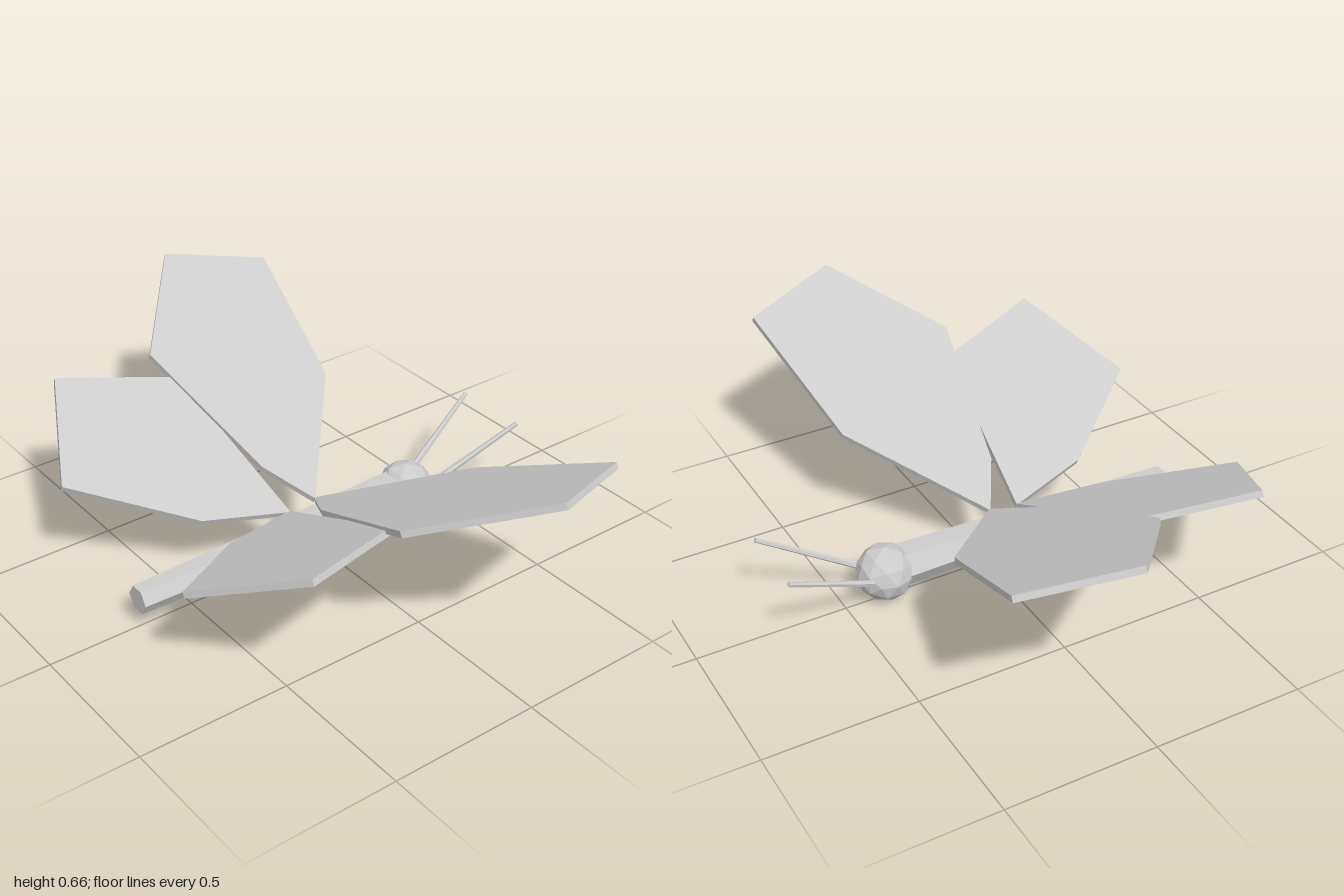
import * as THREE from 'three';

const grey = new THREE.MeshStandardMaterial({ color: 0xcccccc, flatShading: true });
grey.name = 'light grey';

const TILT = THREE.MathUtils.degToRad(25);
const THICKNESS = 0.021;

// Wing outlines as seen from above: [x, z]
const FORE_WING = [[0, 0.02], [0.383, -0.313], [0.867, -0.405], [0.994, -0.075], [0.652, 0.212], [0.162, 0.114]];
const HIND_WING = [[0, 0.118], [0.557, 0.167], [0.693, 0.547], [0.342, 0.735], [0.08, 0.4]];

export function createModel() {
  const model = new THREE.Group();
  model.name = 'butterfly';

  const add = (name, geometry) => {
    const mesh = new THREE.Mesh(geometry, grey);
    mesh.name = name;
    model.add(mesh);
    return mesh;
  };

  // Flat plate, tilted up from the middle of the body
  const addWing = (name, outline, rootY, side) => {
    const shape = new THREE.Shape(
      outline.map(([x, z]) => new THREE.Vector2((side * x) / Math.cos(TILT), -z))
    );
    const geometry = new THREE.ExtrudeGeometry(shape, { depth: THICKNESS, bevelEnabled: false });
    geometry.translate(0, 0, -THICKNESS / 2);
    geometry.rotateX(-Math.PI / 2);
    geometry.rotateZ(side * TILT);
    add(name, geometry).position.y = rootY;
  };

  // Tapered six-sided rod between two points
  const addAntenna = (name, side) => {
    const base = new THREE.Vector3(side * 0.048, 0.095, -0.405);
    const tip = new THREE.Vector3(side * 0.128, 0.268, -0.733);
    const dir = tip.clone().sub(base);
    const mesh = add(name, new THREE.CylinderGeometry(0.008, 0.012, dir.length(), 6));
    mesh.position.copy(base).add(tip).multiplyScalar(0.5);
    mesh.quaternion.setFromUnitVectors(new THREE.Vector3(0, 1, 0), dir.normalize());
  };

  // Six-sided body, narrowing towards the tail at +z
  const body = new THREE.CylinderGeometry(0.046, 0.071, 1.05, 6);
  body.rotateY(Math.PI / 6);
  body.rotateX(Math.PI / 2);
  add('body', body).position.set(0, 0.098, 0.165);

  // Faceted head
  add('head', new THREE.IcosahedronGeometry(0.094, 1)).position.set(0, 0.094, -0.36);

  for (const [label, side] of [['left', 1], ['right', -1]]) {
    addWing(label + 'ForeWing', FORE_WING, 0.191, side);
    addWing(label + 'HindWing', HIND_WING, 0.179, side);
    addAntenna(label + 'Antenna', side);
  }

  return model;
}
